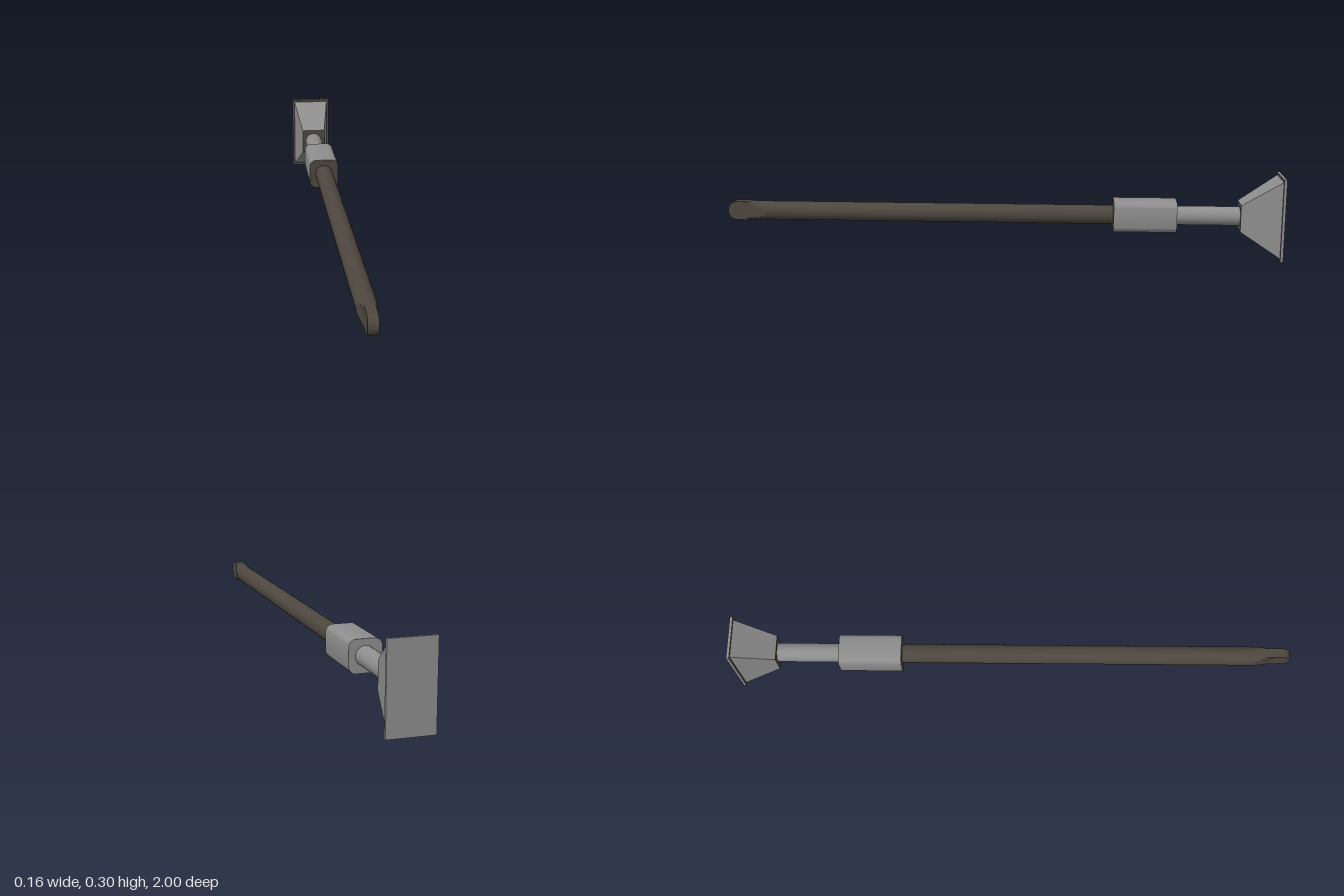
import * as THREE from 'three';
import { toCreasedNormals } from 'three/addons/utils/BufferGeometryUtils.js';

const AXIS_Y = 0.148; // height of the shared axis
const R = 0.034;      // rod radius

function roundedSquare(h, r) {
  const s = new THREE.Shape();
  s.moveTo(h, -h + r);
  s.absarc(h - r, h - r, r, 0, Math.PI / 2);
  s.absarc(-h + r, h - r, r, Math.PI / 2, Math.PI);
  s.absarc(-h + r, -h + r, r, Math.PI, Math.PI * 1.5);
  s.absarc(h - r, -h + r, r, Math.PI * 1.5, Math.PI * 2);
  return s;
}

// Loft from a round section to a flat blade with a half-round end
function tipGeometry() {
  const n = 24;
  const sections = [0, 0.25, 0.5, 0.75, 1].map(t => [0.86 + 0.075 * t, t, R]);
  for (let i = 0; i <= 8; i++) {
    const a = (i / 8) * 1.45;
    sections.push([0.966 + 0.034 * Math.sin(a) / Math.sin(1.45), 1, R * Math.cos(a)]);
  }
  const pos = [], index = [];
  for (const [z, t, h] of sections) {
    const w = THREE.MathUtils.lerp(R, R / 2, t);
    for (let i = 0; i < n; i++) {
      const a = (i / n) * Math.PI * 2, s = Math.sin(a);
      const x = THREE.MathUtils.clamp(Math.cos(a) * R, -w, w);
      const y = h * THREE.MathUtils.lerp(s, THREE.MathUtils.clamp(s * 1.1548, -1, 1), t);
      pos.push(x, y, z);
    }
  }
  for (let j = 0; j < sections.length - 1; j++) {
    for (let i = 0; i < n; i++) {
      const a = j * n + i, b = j * n + (i + 1) % n;
      index.push(a, b, b + n, a, b + n, a + n);
    }
  }
  const last = (sections.length - 1) * n;
  for (let i = 1; i < n - 1; i++) index.push(last, last + i, last + i + 1);
  const g = new THREE.BufferGeometry();
  g.setAttribute('position', new THREE.Float32BufferAttribute(pos, 3));
  g.setIndex(index);
  return toCreasedNormals(g, 0.6);
}

export function createModel() {
  const grey = new THREE.MeshStandardMaterial({ name: 'grey metal', color: 0x8e8e8e });
  const dark = new THREE.MeshStandardMaterial({ name: 'dark metal', color: 0x4d473f });
  const darkFront = [grey, grey, grey, grey, dark, grey]; // box faces, dark on +z

  const model = new THREE.Group();
  model.name = 'rodWithFlaredBase';
  const add = (name, geometry, material, z = 0) => {
    const mesh = new THREE.Mesh(geometry, material);
    mesh.name = name;
    mesh.position.set(0, AXIS_Y, z);
    model.add(mesh);
  };
  const rod = (z0, z1) =>
    new THREE.CylinderGeometry(R, R, z1 - z0, 24, 1, true)
      .rotateX(Math.PI / 2).translate(0, 0, (z0 + z1) / 2);

  // Base plate
  add('basePlate', new THREE.BoxGeometry(0.158, 0.296, 0.01), darkFront, -0.995);

  // Flared foot, a box with its front end narrowed
  const foot = new THREE.BoxGeometry(0.14, 0.276, 0.14);
  const p = foot.attributes.position;
  for (let i = 0; i < p.count; i++) {
    if (p.getZ(i) > 0) p.setXY(i, Math.sign(p.getX(i)) * 0.046, Math.sign(p.getY(i)) * 0.048);
  }
  foot.computeVertexNormals();
  add('flaredFoot', foot, darkFront, -0.92);

  // Short neck, collar and long shaft
  add('neck', rod(-0.86, -0.61), grey);
  const outline = roundedSquare(0.056, 0.025);
  const collar = new THREE.ExtrudeGeometry(outline, { depth: 0.224, bevelEnabled: false, curveSegments: 8 });
  add('collar', toCreasedNormals(collar, 0.6), grey, -0.625);
  add('collarFace', new THREE.ShapeGeometry(outline, 8), dark, -0.4);
  add('shaft', rod(-0.41, 0.86), dark);

  // Chisel tip
  add('chiselTip', tipGeometry(), dark);
  return model;
}
